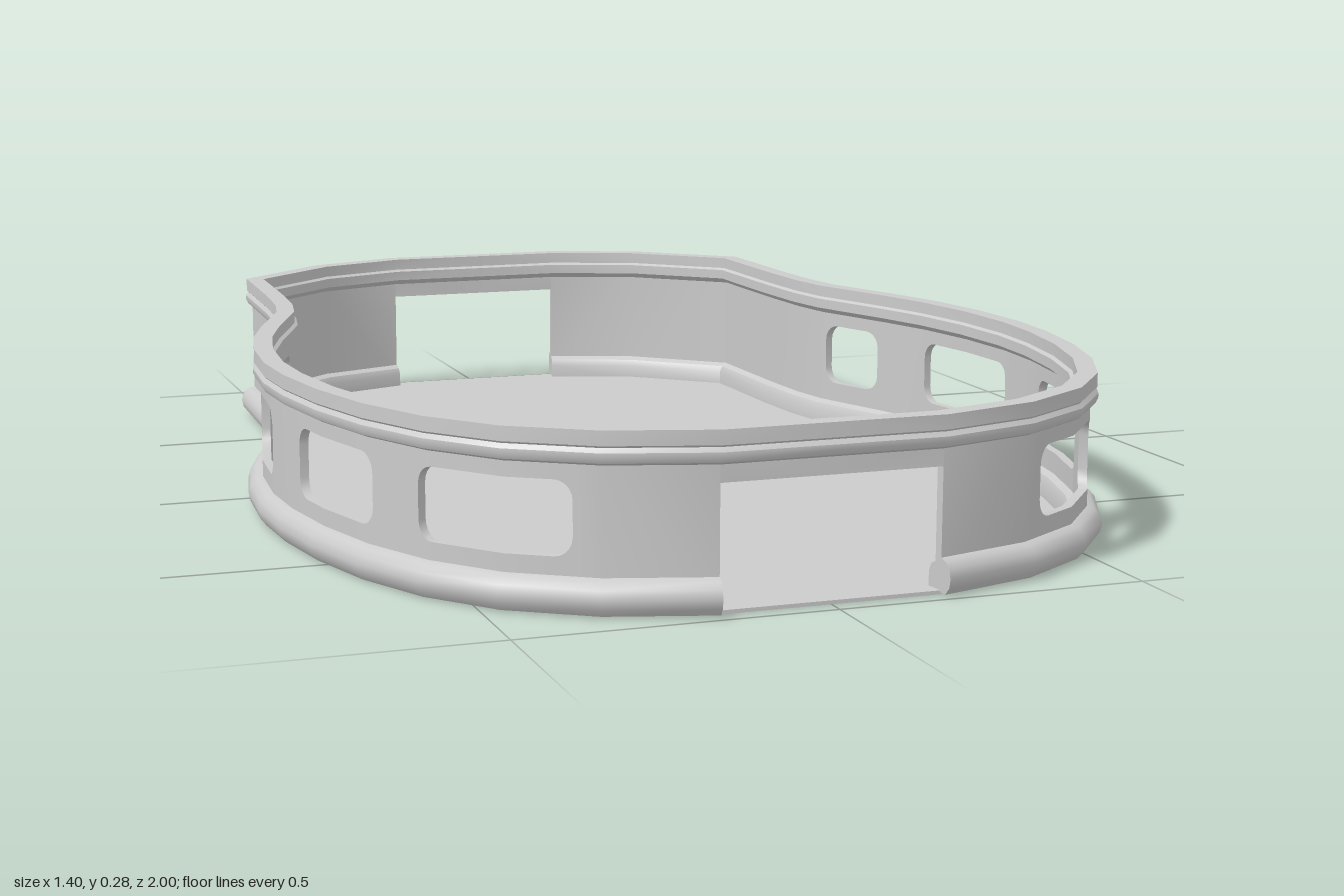
import * as THREE from 'three';
import { toCreasedNormals } from 'three/addons/utils/BufferGeometryUtils.js';

// Half outline of the base moulding in [x, z], from the front centre round the left side to the back
const OUTLINE = [
  [0, 0.995], [0.18, 0.995], [0.35, 0.945], [0.48, 0.86], [0.57, 0.75], [0.632, 0.62], [0.672, 0.48],
  [0.695, 0.34], [0.702, 0.22], [0.692, 0.08], [0.667, -0.05], [0.632, -0.16], [0.572, -0.32],
  [0.558, -0.4], [0.55, -0.52], [0.542, -0.775], [0.36, -0.935], [0.18, -1], [0, -1],
];
const BULGE = 0.025; // the moulding stands this far out from the wall
const LAST = OUTLINE.length - 1;

// Outward normal of the segment that starts at point i
function segmentNormal(i) {
  const [ax, az] = OUTLINE[i], [bx, bz] = OUTLINE[i + 1];
  return new THREE.Vector2(-(bz - az), bx - ax).normalize();
}

// Mitred outline point, d outward from the wall face
function station(i, d) {
  const n0 = segmentNormal(Math.max(i - 1, 0)), n1 = segmentNormal(Math.min(i, LAST - 1));
  const m = n0.clone().add(n1);
  m.multiplyScalar((d - BULGE) / m.dot(n1));
  return [OUTLINE[i][0] + m.x, OUTLINE[i][1] + m.y];
}

const arc = [0];
for (let i = 0; i < LAST; i++) {
  const [a, b] = [OUTLINE[i], OUTLINE[i + 1]];
  arc.push(arc[i] + Math.hypot(b[0] - a[0], b[1] - a[1]));
}

// Point at arc length s, offset d, height y
function along(s, d, y) {
  let i = 0;
  while (i < LAST - 1 && s > arc[i + 1]) i++;
  const t = (s - arc[i]) / (arc[i + 1] - arc[i]);
  const a = station(i, d), b = station(i + 1, d);
  return [a[0] + (b[0] - a[0]) * t, y, a[1] + (b[1] - a[1]) * t];
}

// Arc length at which the side of the outline reaches z
function arcAtZ(z) {
  let i = 1;
  while (OUTLINE[i + 1][1] > z) i++;
  const t = (OUTLINE[i][1] - z) / (OUTLINE[i][1] - OUTLINE[i + 1][1]);
  return arc[i] + (arc[i + 1] - arc[i]) * t;
}

// Collects faces together with their mirror images across x = 0
function mirroredSurface() {
  const pos = [];
  const flip = ([x, y, z]) => [-x, y, z];
  const tri = (a, b, c) => pos.push(...a, ...b, ...c, ...flip(a), ...flip(c), ...flip(b));
  const quad = (a, b, c, d) => { tri(a, b, c); tri(a, c, d); };
  const mesh = (name, material) => {
    const g = new THREE.BufferGeometry();
    g.setAttribute('position', new THREE.Float32BufferAttribute(pos, 3));
    const m = new THREE.Mesh(toCreasedNormals(g, 0.6), material);
    m.name = name;
    return m;
  };
  return { tri, quad, mesh };
}

// Sweeps a closed [offset, height] section along the outline, with optional end caps
function sweep(name, section, from, to, capped, material) {
  const surf = mirroredSurface();
  const n = section.length;
  const at = (i, k) => {
    const [d, y] = section[k % n];
    const [x, z] = station(i, d);
    return [x, y, z];
  };
  for (let i = from; i < to; i++)
    for (let k = 0; k < n; k++)
      surf.quad(at(i, k), at(i, k + 1), at(i + 1, k + 1), at(i + 1, k));
  if (capped) {
    const centre = (i) => {
      const [x, z] = station(i, 0);
      return [x, 0.025, z];
    };
    for (let k = 0; k < n; k++) {
      surf.tri(centre(from), at(from, k + 1), at(from, k));
      surf.tri(centre(to), at(to, k), at(to, k + 1));
    }
  }
  return surf.mesh(name, material);
}

// Thin wall with rounded windows and a doorway at each end
function buildWall(material) {
  const bottom = 0.003, top = 0.24, inner = -0.015, radius = 0.03;
  const openings = [
    { s0: -1, s1: arc[1], y0: 0, y1: 0.195, r: 0 },
    { s0: arc[LAST - 1], s1: arc[LAST] + 1, y0: 0, y1: 0.195, r: 0 },
  ];
  for (const [za, zb] of [[0.92, 0.73], [0.63, 0.38], [0.225, -0.05], [-0.178, -0.31]])
    openings.push({ s0: arcAtZ(za), s1: arcAtZ(zb), y0: 0.084, y1: 0.198, r: radius });

  // Columns at every outline corner and round every window corner
  const cuts = [...arc];
  for (const o of openings.slice(2))
    for (let k = 0; k <= 5; k++) {
      const e = o.r * (1 - Math.cos((k / 5) * Math.PI / 2));
      cuts.push(o.s0 + e, o.s1 - e);
    }
  cuts.sort((a, b) => a - b);

  // Lower and upper edge of an opening at s
  const gap = (o, s) => {
    const e = Math.min(Math.max(Math.min(s - o.s0, o.s1 - s), 0), o.r);
    const inset = o.r - Math.sqrt(Math.max(0, o.r ** 2 - (o.r - e) ** 2));
    return [o.y0 + inset, o.y1 - inset];
  };
  const surf = mirroredSurface();
  const panel = (a, b, la, lb, ha, hb) => {
    surf.quad(along(a, 0, la), along(b, 0, lb), along(b, 0, hb), along(a, 0, ha));
    surf.quad(along(b, inner, lb), along(a, inner, la), along(a, inner, ha), along(b, inner, hb));
  };
  for (let i = 0; i < cuts.length - 1; i++) {
    const a = cuts[i], b = cuts[i + 1];
    if (b - a < 1e-6) continue;
    const mid = (a + b) / 2;
    const o = openings.find((w) => mid > w.s0 && mid < w.s1);
    if (!o) {
      panel(a, b, bottom, bottom, top, top);
      continue;
    }
    const [la, ha] = gap(o, a), [lb, hb] = gap(o, b);
    panel(a, b, ha, hb, top, top);
    surf.quad(along(a, inner, ha), along(b, inner, hb), along(b, 0, hb), along(a, 0, ha));
    if (o.r > 0) {
      panel(a, b, bottom, bottom, la, lb);
      surf.quad(along(a, 0, la), along(b, 0, lb), along(b, inner, lb), along(a, inner, la));
    }
  }
  // Upright sides of the openings
  for (const o of openings) {
    const lo = Math.max(o.y0 + o.r, bottom), hi = o.y1 - o.r;
    if (o.s0 > 0)
      surf.quad(along(o.s0, 0, lo), along(o.s0, inner, lo), along(o.s0, inner, hi), along(o.s0, 0, hi));
    if (o.s1 < arc[LAST])
      surf.quad(along(o.s1, inner, lo), along(o.s1, 0, lo), along(o.s1, 0, hi), along(o.s1, inner, hi));
  }
  return surf.mesh('wall', material);
}

// Flat floor plate
function buildFloor(material) {
  const half = OUTLINE.map((_, i) => station(i, 0));
  const other = half.slice(1, -1).reverse().map(([x, z]) => [-x, z]);
  const shape = new THREE.Shape([...half, ...other].map(([x, z]) => new THREE.Vector2(x, -z)));
  const geo = new THREE.ExtrudeGeometry(shape, { depth: 0.006, bevelEnabled: false });
  const floor = new THREE.Mesh(geo.rotateX(-Math.PI / 2), material);
  floor.name = 'floor';
  return floor;
}

export function createModel() {
  const material = new THREE.MeshStandardMaterial({ color: 0xcccccc });
  const model = new THREE.Group();
  model.name = 'tray';

  // Rounded moulding outside and a small ledge inside, broken at the doorways
  const baseSection = [
    [-0.032, 0.002], [-0.032, 0.03], [-0.026, 0.042], [-0.015, 0.048], [0, 0.056], [0.012, 0.052],
    [0.021, 0.042], [BULGE, 0.028], [0.022, 0.014], [0.012, 0.002],
  ];
  // Stepped rim running all the way round
  const rimSection = [
    [-0.015, 0.222], [-0.028, 0.232], [-0.028, 0.25], [-0.022, 0.254], [-0.022, 0.275], [0.01, 0.275],
    [0.01, 0.252], [0.007, 0.249], [0.012, 0.242], [0.012, 0.234], [0.008, 0.226], [0, 0.222],
  ];
  model.add(
    buildFloor(material),
    buildWall(material),
    sweep('baseMoulding', baseSection, 1, LAST - 1, true, material),
    sweep('rim', rimSection, 0, LAST, false, material),
  );
  return model;
}
